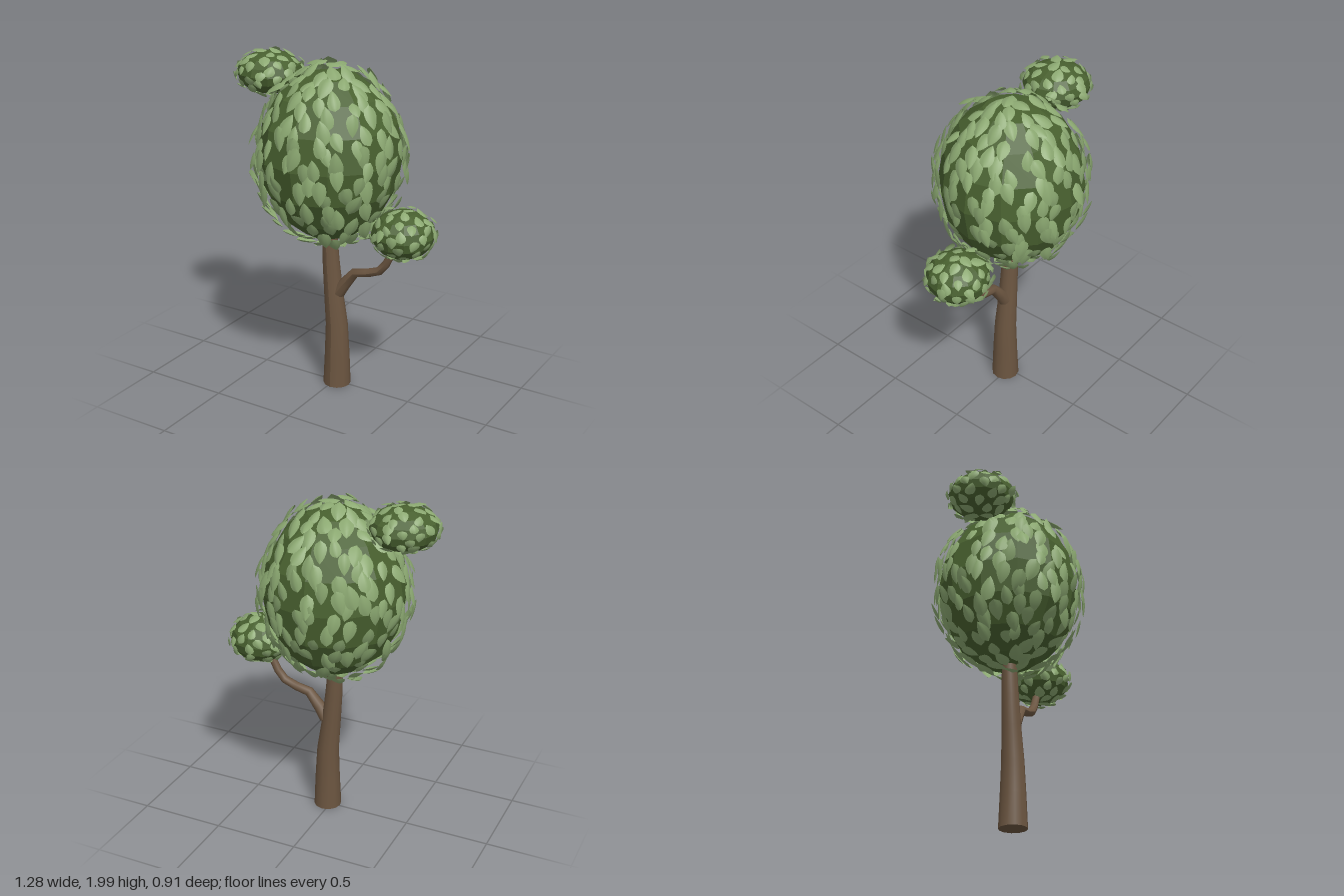
import * as THREE from 'three';
import { mergeGeometries } from 'three/addons/utils/BufferGeometryUtils.js';

const bark = new THREE.MeshStandardMaterial({ color: 0x6b5540 });
const coreGreen = new THREE.MeshStandardMaterial({ color: 0x48602f, flatShading: true });
const leafGreen = new THREE.MeshStandardMaterial({ color: 0x8ba871, side: THREE.DoubleSide });

// Small seeded generator
function seeded(seed) {
  let s = seed;
  return () => (s = (s * 16807) % 2147483647) / 2147483647;
}

// Tapered limb swept through [x, y, radius] stations in the xy plane
function limb(name, path, sides, z) {
  const n = path.length - 1;
  const geo = new THREE.CylinderGeometry(1, 1, 1, sides, n);
  const pos = geo.attributes.position;
  for (let k = 0; k < pos.count; k++) {
    const i = Math.round((pos.getY(k) + 0.5) * n);
    const [x, y, r] = path[i];
    const a = path[Math.max(i - 1, 0)], b = path[Math.min(i + 1, n)];
    const t = new THREE.Vector2(b[0] - a[0], b[1] - a[1]).normalize();
    const across = pos.getX(k) * r;
    pos.setXYZ(k, x + t.y * across, y - t.x * across, z + pos.getZ(k) * r);
  }
  geo.computeVertexNormals();
  const mesh = new THREE.Mesh(geo, bark);
  mesh.name = name;
  return mesh;
}

// Teardrop leaf, unit length along y, gently folded on its midrib and bowed
function leafGeometry() {
  const geo = new THREE.PlaneGeometry(1, 1, 4, 7);
  const pos = geo.attributes.position;
  for (let k = 0; k < pos.count; k++) {
    const t = pos.getY(k) + 0.5;
    const x = pos.getX(k) * 0.66 * Math.pow(Math.sin(Math.PI * Math.pow(t, 0.72)), 0.8);
    pos.setXYZ(k, x || 0, t - 0.5, -0.35 * Math.abs(x || 0) - 0.3 * (t - 0.5) ** 2);
  }
  geo.computeVertexNormals();
  return geo;
}

// Faceted core with leaves spread over it, squashed to an ellipsoid
function clump(name, center, radii, count, leafLength, lift, seed) {
  const rand = seeded(seed);
  const group = new THREE.Group();
  group.name = name;
  const core = new THREE.Mesh(new THREE.SphereGeometry(1, 12, 8), coreGreen);
  core.name = name + 'Core';

  const base = leafGeometry(), leaves = [];
  const up = new THREE.Vector3(0, 1, 0);
  for (let i = 0; i < count; i++) {
    const y = 1 - (2 * (i + 0.5)) / count;
    const a = i * 2.39996 + (rand() - 0.5) * 0.3;
    const r = Math.sqrt(1 - y * y);
    const out = new THREE.Vector3(r * Math.cos(a), y, r * Math.sin(a));
    const side = new THREE.Vector3().crossVectors(up, out).normalize();
    const along = new THREE.Vector3().crossVectors(out, side);
    const m = new THREE.Matrix4().makeBasis(side, along, out);
    // mostly hanging along the surface, with a little twist and tilt
    const twist = (rand() < 0.6 ? Math.PI : 0) + (rand() - 0.5) * 0.9;
    m.multiply(new THREE.Matrix4().makeRotationZ(twist));
    m.multiply(new THREE.Matrix4().makeRotationX((rand() - 0.5) * 0.6));
    const s = leafLength * (0.85 + rand() * 0.3);
    m.scale(new THREE.Vector3(s, s, s));
    m.setPosition(out.multiplyScalar(1.03 + rand() * lift));
    leaves.push(base.clone().applyMatrix4(m));
  }
  const geo = mergeGeometries(leaves);
  geo.scale(...radii);
  const foliage = new THREE.Mesh(geo, leafGreen);
  foliage.name = name + 'Leaves';
  core.scale.set(...radii);
  group.add(core, foliage);
  group.position.set(...center);
  return group;
}

export function createModel() {
  const tree = new THREE.Group();
  tree.name = 'tree';

  // Trunk leaning slightly as it rises into the crown
  tree.add(limb('trunk', [
    [0.02, 0.01, 0.082], [0.021, 0.2, 0.074], [0.018, 0.4, 0.065],
    [-0.004, 0.6, 0.056], [-0.02, 0.78, 0.05], [-0.03, 0.95, 0.044], [-0.03, 1.1, 0.036],
  ], 12, 0.007));

  // Crooked branch carrying the lower clump
  tree.add(limb('branch', [
    [0.03, 0.605, 0.042], [0.075, 0.67, 0.036], [0.14, 0.75, 0.029],
    [0.22, 0.767, 0.026], [0.3, 0.797, 0.025], [0.345, 0.85, 0.024], [0.385, 0.93, 0.022],
    [0.42, 1.02, 0.018],
  ], 8, 0.007));

  // Foliage: tall crown, upper and lower side clumps
  tree.add(clump('crown', [-0.03, 1.435, 0], [0.41, 0.49, 0.41], 290, 0.27, 0.09, 71));
  tree.add(clump('upperClump', [-0.43, 1.86, 0], [0.19, 0.12, 0.19], 72, 0.46, 0.1, 523));
  tree.add(clump('lowerClump', [0.445, 1.05, 0], [0.18, 0.137, 0.18], 72, 0.46, 0.1, 907));
  return tree;
}
